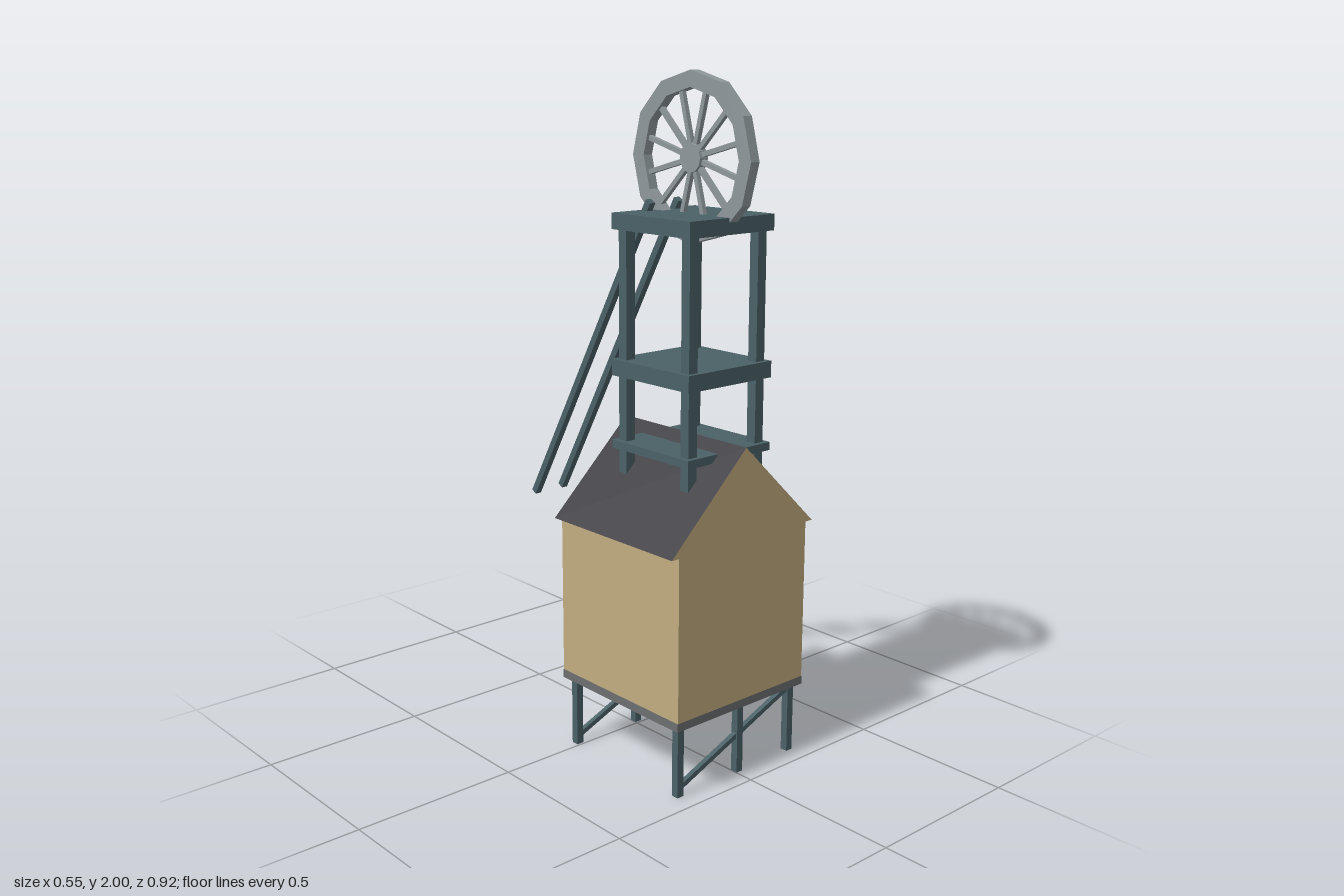
import * as THREE from 'three';

const material = (name, color, extra = {}) => {
  const m = new THREE.MeshStandardMaterial({ color, ...extra });
  m.name = name;
  return m;
};

export function createModel() {
  const wall = material('tan wall', 0xc2ad80);
  const roof = material('dark roof', 0x35343b);
  const glass = material('blue window', 0x5a639b);
  const slab = material('grey slab', 0x6c6e70);
  const steel = material('steel green', 0x4b6167);
  const iron = material('wheel grey', 0x8f989c);

  const model = new THREE.Group();
  model.name = 'pitheadTower';

  const add = (parent, name, geometry, mat) => {
    const mesh = new THREE.Mesh(geometry, mat);
    mesh.name = name;
    parent.add(mesh);
    return mesh;
  };
  const group = (name) => {
    const g = new THREE.Group();
    g.name = name;
    model.add(g);
    return g;
  };
  // Box given by its centre and size
  const box = (parent, name, mat, [x, y, z], [w, h, d]) => {
    const mesh = add(parent, name, new THREE.BoxGeometry(w, h, d), mat);
    mesh.position.set(x, y, z);
    return mesh;
  };
  // Square bar between two points
  const bar = (parent, name, mat, from, to, t) => {
    const a = new THREE.Vector3(...from), b = new THREE.Vector3(...to);
    const mesh = add(parent, name, new THREE.BoxGeometry(t, t, a.distanceTo(b)), mat);
    mesh.position.copy(a).add(b).multiplyScalar(0.5);
    mesh.lookAt(b);
    return mesh;
  };

  // Building: slab, walls and gabled roof
  const house = group('house');
  const zMid = 0.205, depth = 0.507, zBack = zMid - depth / 2;
  box(house, 'floorSlab', slab, [0, 0.225, zMid], [0.504, 0.025, depth]);
  box(house, 'walls', wall, [0, 0.479, zMid], [0.5, 0.483, depth]);
  const gable = new THREE.Shape([
    new THREE.Vector2(-0.277, 0.72), new THREE.Vector2(0.277, 0.72), new THREE.Vector2(0, 0.986),
  ]);
  const roofGeometry = new THREE.ExtrudeGeometry(gable, { depth, bevelEnabled: false });
  roofGeometry.translate(0, 0, zBack);
  add(house, 'gableRoof', roofGeometry, [wall, roof]);

  // Windows on one side and on the back
  for (let i = -1; i <= 1; i++) {
    box(house, 'sideWindow', glass, [0.25, 0.45, 0.207 + i * 0.17], [0.006, 0.11, 0.068]);
    box(house, 'backWindow', glass, [i * 0.17, 0.45, zBack], [0.068, 0.11, 0.006]);
  }

  // Stilts with a diagonal brace at front and back
  const stilts = group('stilts');
  for (const z of [0.43, -0.018]) {
    for (const x of [-0.223, 0.012, 0.223]) {
      box(stilts, 'stilt', steel, [x, 0.107, z], [0.023, 0.214, 0.023]);
    }
    bar(stilts, 'brace', steel, [-0.223, 0.024, z], [0.223, 0.206, z], 0.015);
  }

  // Headframe: four posts and three platforms
  const frame = group('headframe');
  const cx = 0.0145, cz = 0.219;
  for (const sx of [-1, 1]) {
    for (const sz of [-1, 1]) {
      box(frame, 'post', steel, [cx + sx * 0.13, 1.2, cz + sz * 0.13], [0.032, 0.74, 0.032]);
    }
  }
  for (const [y, h] of [[1.588, 0.046], [1.171, 0.048], [0.945, 0.024]]) {
    box(frame, 'platform', steel, [cx, y, cz], [0.321, h, 0.321]);
  }
  // Rear raking struts
  for (const x of [-0.039, 0.069]) {
    bar(frame, 'rakingStrut', steel, [x, 1.639, 0.103], [x, 0.666, -0.449], 0.021);
  }

  // Winding wheel: twelve-sided rim, spokes between the corners, hub
  const wheel = group('windingWheel');
  wheel.position.set(0.016, 1.763, 0.22);
  const ring = (r) => Array.from({ length: 12 }, (_, i) => {
    const a = (i * Math.PI) / 6;
    return new THREE.Vector2(r * Math.cos(a), r * Math.sin(a));
  });
  const rimShape = new THREE.Shape(ring(0.237));
  rimShape.holes.push(new THREE.Path(ring(0.191).reverse()));
  const rim = new THREE.ExtrudeGeometry(rimShape, { depth: 0.032, bevelEnabled: false });
  rim.translate(0, 0, -0.016).rotateY(Math.PI / 2);
  add(wheel, 'rim', rim, iron);
  for (let i = 0; i < 12; i++) {
    const spoke = new THREE.BoxGeometry(0.014, 0.17, 0.014);
    spoke.translate(0, 0.11, 0).rotateX(((i + 0.5) * Math.PI) / 6);
    add(wheel, 'spoke', spoke, iron);
  }
  const hub = new THREE.CylinderGeometry(0.041, 0.041, 0.03, 12);
  hub.rotateZ(Math.PI / 2);
  add(wheel, 'hub', hub.toNonIndexed(), iron).geometry.computeVertexNormals();

  return model;
}
